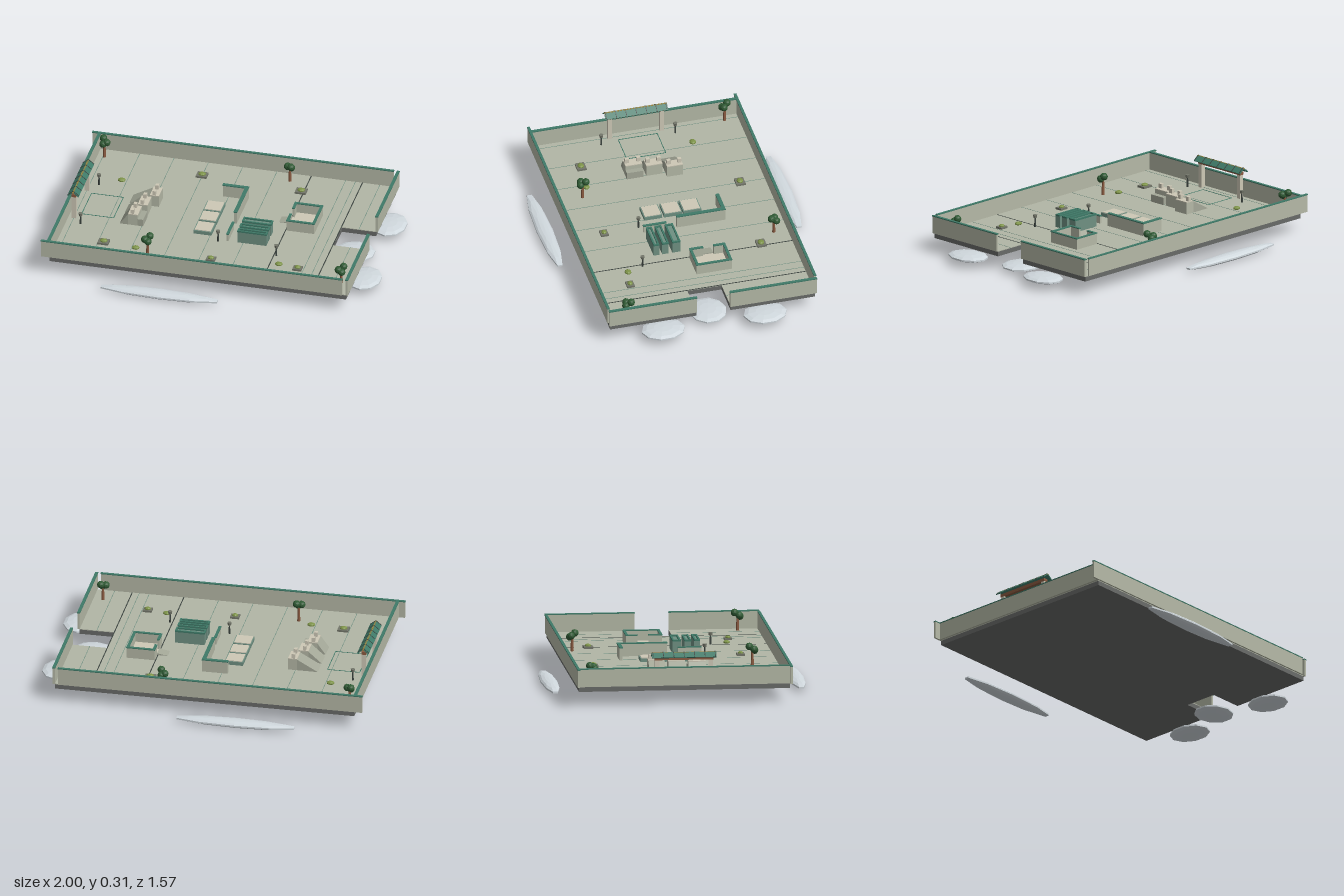
import * as THREE from 'three';

const mat = (color, extra = {}) => new THREE.MeshStandardMaterial({ color, flatShading: true, ...extra });
const M = {
  floor: mat(0xb2b6a6), wall: mat(0xb4b8a6), slab: mat(0x686a68), rim: mat(0x3f7a68), dark: mat(0x3c4440),
  panel: mat(0x6f9082), beige: mat(0xcdc8b6), wood: mat(0x8a5a40), gold: mat(0x9a8440), planter: mat(0x73766a),
  shrub: mat(0x7d9348), leaf: mat(0x2f5a34), cloud: mat(0xd0d8dd), steps: mat(0xa4a898),
};
const FLOOR = 0.12, TOP = 0.23;

export function createModel() {
  const root = new THREE.Group();

  const add = (name, geo, material, x, y, z, parent = root) => {
    const m = new THREE.Mesh(geo, material);
    m.name = name;
    m.position.set(x, y, z);
    parent.add(m);
    return m;
  };
  // Box given by its extents on each axis
  const box = (name, material, x0, x1, y0, y1, z0, z1, parent = root) =>
    add(name, new THREE.BoxGeometry(x1 - x0, y1 - y0, z1 - z0), material,
      (x0 + x1) / 2, (y0 + y1) / 2, (z0 + z1) / 2, parent);
  // Wall with a green coping
  const wall = (name, x0, x1, y1, z0, z1, material = M.wall) => {
    const g = new THREE.Group();
    g.name = name;
    box('wallBody', material, x0, x1, FLOOR, y1 - 0.006, z0, z1, g);
    box('wallCoping', M.rim, x0 - 0.002, x1 + 0.002, y1 - 0.006, y1, z0 - 0.002, z1 + 0.002, g);
    root.add(g);
  };

  // Foundation and floor, notched at the entrance side
  const areas = [[-0.95, 0.655, -0.63, 0.63], [0.655, 0.865, -0.63, -0.11], [0.655, 0.865, 0.1, 0.63]];
  for (const [x0, x1, z0, z1] of areas) {
    box('foundation', M.slab, x0, x1, 0.088, 0.116, z0, z1);
    box('floor', M.floor, x0, x1, 0.116, FLOOR, z0, z1);
  }

  // Floor joints
  for (const x of [-0.915, -0.71, -0.5, -0.29, -0.08, 0.13, 0.55, 0.61])
    box('floorJoint', M.panel, x - 0.0015, x + 0.0015, FLOOR, FLOOR + 0.001, -0.63, 0.63);
  for (const x of [0.34, 0.653])
    box('floorSeam', M.dark, x - 0.003, x + 0.003, FLOOR, FLOOR + 0.001, -0.63, 0.63);
  for (const [z0, z1] of [[-0.63, -0.11], [0.1, 0.63]])
    box('floorJoint', M.panel, 0.758, 0.761, FLOOR, FLOOR + 0.001, z0, z1);

  // Perimeter walls
  for (const s of [-1, 1]) {
    wall('sideWall', -1, 0.843, TOP, s * 0.635 - 0.006, s * 0.635 + 0.006);
    wall('entranceWall', 0.863, 0.877, TOP, s > 0 ? 0.1 : -0.637, s > 0 ? 0.637 : -0.105);
  }
  wall('endWall', -0.963, -0.949, TOP, -0.63, 0.63);

  // Gate with pitched roof
  const gate = new THREE.Group();
  gate.name = 'gate';
  root.add(gate);
  for (const z of [-0.16, 0.16]) box('gatePost', M.beige, -0.927, -0.901, FLOOR, 0.268, z - 0.013, z + 0.013, gate);
  box('gateBeam', M.wood, -0.928, -0.9, 0.266, 0.284, -0.175, 0.175, gate);
  for (const s of [-1, 1]) {
    const r = add('gateRoof', new THREE.BoxGeometry(0.042, 0.006, 0.385), M.rim, -0.914 + s * 0.017, 0.296, 0, gate);
    r.rotation.z = -s * 0.68;
    for (let i = 0; i < 7; i++) {
      const rib = add('roofRib', new THREE.BoxGeometry(0.042, 0.003, 0.004), M.dark,
        -0.914 + s * 0.018, 0.3, -0.186 + i * 0.062, gate);
      rib.rotation.z = -s * 0.68;
    }
  }
  box('roofRidge', M.gold, -0.919, -0.909, 0.305, 0.311, -0.193, 0.193, gate);

  // Marked court in front of the gate
  for (const z of [-0.125, 0.115]) box('courtLine', M.rim, -0.88, -0.685, FLOOR, 0.122, z - 0.002, z + 0.002);
  for (const x of [-0.88, -0.685]) box('courtLine', M.rim, x - 0.002, x + 0.002, FLOOR, 0.122, -0.127, 0.117);

  // Ramps leading to small towers
  const wedge = (x0, x1, h, z0, z1) => {
    const s = new THREE.Shape([new THREE.Vector2(x0, 0), new THREE.Vector2(x1, 0), new THREE.Vector2(x1, h)]);
    add('ramp', new THREE.ExtrudeGeometry(s, { depth: z1 - z0, bevelEnabled: false }), M.steps, 0, FLOOR, z0);
  };
  for (const [z0, z1, t0, t1] of [[-0.17, -0.072, -0.51, -0.455], [-0.055, 0.045, -0.555, -0.495], [0.062, 0.165, -0.585, -0.525]]) {
    wedge(-0.635, t0, 0.07, z0, z1);
    box('towerBase', M.wall, t0, t1, FLOOR, 0.19, z0, z1);
    box('towerCap', M.beige, t0, t1, 0.19, 0.195, z0, z1);
    for (const z of [z0 + 0.016, z1 - 0.016])
      box('towerPost', M.beige, t0 + 0.015, t0 + 0.035, 0.195, 0.222, z - 0.012, z + 0.012);
    if (t1 < -0.5) box('towerStep', M.steps, t1, -0.492, FLOOR, 0.165, z0, z1);
  }

  // Low platforms with green borders
  for (const z of [-0.125, -0.007, 0.115]) {
    box('platformBorder', M.panel, -0.183, -0.073, FLOOR, 0.142, z - 0.055, z + 0.055);
    box('platformTop', M.beige, -0.177, -0.079, 0.142, 0.146, z - 0.049, z + 0.049);
  }

  // Angled screen wall and short partition
  wall('screenWall', -0.115, 0.04, 0.2, -0.298, -0.28);
  wall('screenWall', 0.022, 0.04, 0.2, -0.28, 0);
  wall('partition', 0.028, 0.04, 0.17, 0.065, 0.205);

  // Storage racks
  for (const [z0, z1] of [[0.04, 0.09], [0.112, 0.152], [0.17, 0.205]]) {
    box('rackBody', M.panel, 0.095, 0.272, FLOOR, 0.19, z0, z1);
    for (const z of [z0, z1 - 0.01]) box('rackRail', M.rim, 0.093, 0.274, 0.19, 0.2, z, z + 0.01);
    for (const x of [0.093, 0.264]) box('rackRail', M.rim, x, x + 0.01, 0.19, 0.2, z0, z1);
  }

  // Counter booth open on one side
  box('boothFloor', M.beige, 0.345, 0.51, FLOOR, 0.126, -0.205, 0);
  wall('boothWall', 0.345, 0.515, 0.19, -0.212, -0.2);
  wall('boothWall', 0.345, 0.515, 0.19, -0.007, 0.005);
  wall('boothWall', 0.503, 0.515, 0.19, -0.2, -0.007);
  wall('boothWall', 0.345, 0.357, 0.19, -0.2, -0.142);
  wall('boothWall', 0.345, 0.357, 0.19, -0.076, -0.007);
  wedge(0.28, 0.345, 0.012, -0.142, -0.076);

  // Lamp posts
  for (const [x, z] of [[-0.86, -0.23], [-0.86, 0.225], [-0.02, 0.22], [0.355, 0.295]]) {
    add('lampPost', new THREE.CylinderGeometry(0.004, 0.006, 0.06, 6), M.dark, x, FLOOR + 0.03, z);
    add('lampHead', new THREE.CylinderGeometry(0.013, 0.01, 0.018, 8), M.planter, x, FLOOR + 0.065, z);
  }

  // Planters and loose shrubs
  const shrub = (x, z, r, y) => add('shrub', new THREE.SphereGeometry(1, 9, 5), M.shrub, x, y, z).scale.set(r, 0.011, r * 0.85);
  for (const [x, z, h] of [[-0.29, -0.475, 0.033], [0.325, -0.44, 0.033], [-0.675, 0.4, 0.033], [-0.01, 0.435, 0.027], [0.515, 0.415, 0.027]]) {
    box('planter', M.planter, x - h, x + h, FLOOR, 0.132, z - h * 0.85, z + h * 0.85);
    shrub(x, z, h * 0.72, 0.134);
  }
  for (const [x, z] of [[-0.74, -0.305], [-0.475, 0.42], [0.395, 0.395]]) shrub(x, z, 0.024, 0.127);

  // Trees: a trunk with three clumps of leaves
  for (const [x, z, top, sx, sz] of [[-0.905, -0.545, 0.262, 1, 1], [0.23, -0.545, 0.25, -1, -1], [-0.39, 0.465, 0.262, -1, 1], [0.805, 0.505, 0.25, -1, 1]]) {
    add('treeTrunk', new THREE.CylinderGeometry(0.006, 0.01, top - FLOOR - 0.03, 6), M.wood, x, (top + FLOOR - 0.03) / 2, z);
    for (const [dx, dz, dy] of [[-0.01, -0.017, 0], [0.016, 0.008, -0.012], [-0.005, 0.014, -0.022]])
      add('treeCrown', new THREE.IcosahedronGeometry(0.023, 1), M.leaf, x + dx * sx, top - 0.023 + dy, z + dz * sz);
  }

  // Flat drifting clouds around the base
  const cloud = (x, y, z, rx, ry, rz) => {
    const g = new THREE.SphereGeometry(1, 10, 7).rotateY(Math.PI / 10).scale(rx / 0.951, ry, rz);
    add('cloud', g, M.cloud, x, y, z);
  };
  for (const s of [-1, 1]) {
    cloud(-0.252, 0.025, s * 0.735, 0.365, 0.022, 0.05);
    cloud(0.9, 0.052, s * 0.313, 0.1, 0.022, 0.135);
  }
  cloud(0.763, 0.032, 0.003, 0.12, 0.02, 0.115);

  return root;
}
